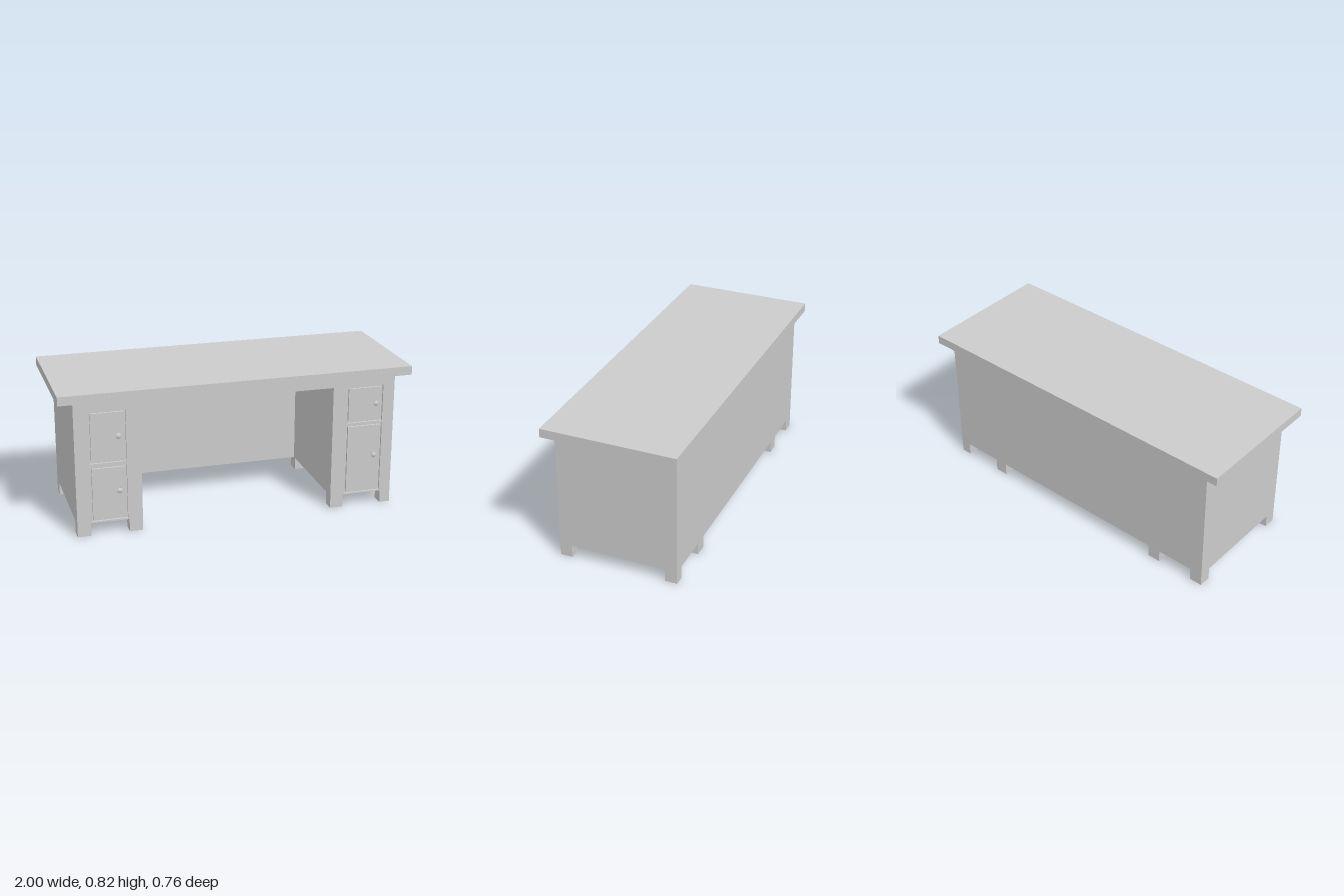
import * as THREE from 'three';

const material = new THREE.MeshStandardMaterial({ color: 0xcccccc });

const FRONT = 0.345, BACK = -0.345;  // carcass depth
const OUTER = 0.915, INNER = 0.55;   // pedestal sides
const FLOOR = 0.073, TOP = 0.775;    // pedestal underside and top
const FACE = 0.012;                  // thickness of the front frame
const GAP = 0.009;                   // groove around each door

function add(parent, name, geometry) {
  const mesh = new THREE.Mesh(geometry, material);
  mesh.name = name;
  parent.add(mesh);
  return mesh;
}

// Box given by its limits on each axis
function box(parent, name, x0, x1, y0, y1, z0, z1) {
  const mesh = add(parent, name, new THREE.BoxGeometry(x1 - x0, y1 - y0, z1 - z0));
  mesh.position.set((x0 + x1) / 2, (y0 + y1) / 2, (z0 + z1) / 2);
  return mesh;
}

function rectangle(target, x0, x1, y0, y1) {
  target.moveTo(x0, y0).lineTo(x1, y0).lineTo(x1, y1).lineTo(x0, y1).closePath();
  return target;
}

// Round knob on a thin stem, turned about the z axis
function knobGeometry() {
  const profile = [[0, 0], [0.005, 0], [0.005, 0.004], [0.016, 0.006], [0.016, 0.008], [0.007, 0.011], [0, 0.013]];
  const geometry = new THREE.LatheGeometry(profile.map(([r, y]) => new THREE.Vector2(r, y)), 20);
  return geometry.rotateX(Math.PI / 2);
}

// Pedestal with grooved doors, knobs and four feet
function pedestal(name, side, doors, feet) {
  const group = new THREE.Group();
  group.name = name;
  const x0 = side > 0 ? INNER : -OUTER;
  const x1 = side > 0 ? OUTER : -INNER;
  box(group, 'pedestalBody', x0, x1, FLOOR, TOP, BACK, FRONT - FACE);

  const frame = rectangle(new THREE.Shape(), x0, x1, FLOOR, TOP);
  for (const d of doors) frame.holes.push(rectangle(new THREE.Path(), d.x0, d.x1, d.y0, d.y1));
  const frameGeometry = new THREE.ExtrudeGeometry(frame, { depth: FACE, bevelEnabled: false });
  add(group, 'frontFrame', frameGeometry).position.z = FRONT - FACE;

  for (const d of doors) {
    box(group, 'door', d.x0 + GAP, d.x1 - GAP, d.y0 + GAP, d.y1 - GAP, FRONT - FACE, FRONT);
    add(group, 'knob', knobGeometry()).position.set(d.knob[0], d.knob[1], FRONT);
  }

  for (const [f0, f1] of feet) {
    box(group, 'frontFoot', f0, f1, 0, FLOOR, FRONT - 0.07, FRONT);
    box(group, 'backFoot', f0, f1, 0, FLOOR, BACK, BACK + 0.07);
  }
  return group;
}

export function createModel() {
  const desk = new THREE.Group();
  desk.name = 'desk';

  box(desk, 'desktop', -1, 1, TOP, 0.825, -0.382, 0.382);

  // Kneehole between the pedestals
  box(desk, 'backPanel', -INNER, INNER, FLOOR, TOP, BACK, BACK + 0.05);
  box(desk, 'kneeholeCeiling', -INNER, INNER, 0.725, TOP, BACK + 0.05, FRONT);

  desk.add(pedestal('rightPedestal', -1, [
    { x0: -0.835, x1: -0.632, y0: 0.418, y1: 0.712, knob: [-0.675, 0.567] },
    { x0: -0.835, x1: -0.632, y0: 0.082, y1: 0.397, knob: [-0.675, 0.252] },
  ], [[-OUTER, -0.84], [-0.625, -INNER]]));

  desk.add(pedestal('leftPedestal', 1, [
    { x0: 0.634, x1: 0.848, y0: 0.506, y1: 0.718, knob: [0.805, 0.613] },
    { x0: 0.634, x1: 0.848, y0: 0.08, y1: 0.492, knob: [0.805, 0.303] },
  ], [[INNER, 0.625], [0.855, OUTER]]));

  return desk;
}
